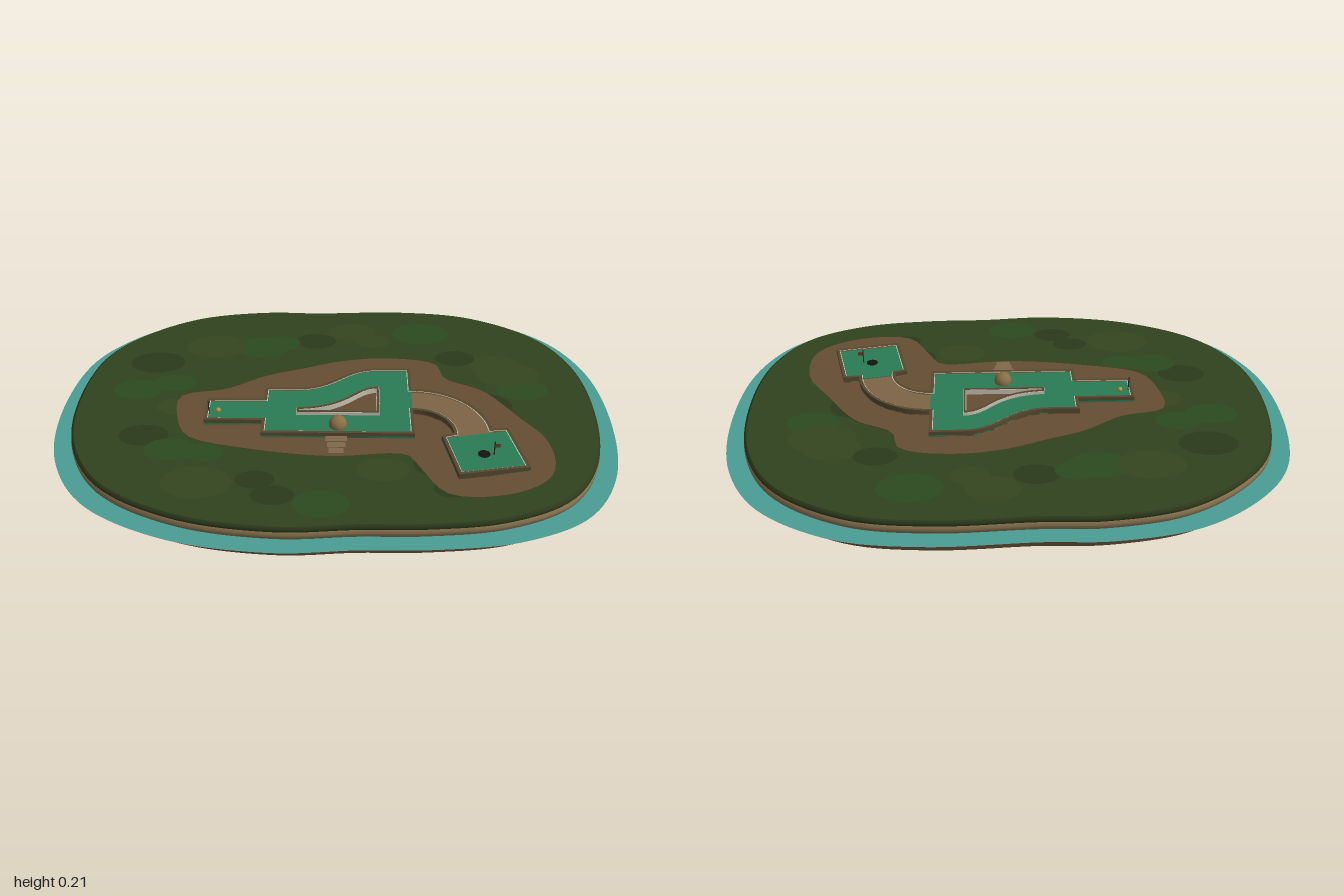
import * as THREE from 'three';

const GRASS_Y = 0.147;
const V = (x, z) => new THREE.Vector2(x, z); // plan point: x, z

function mat(color, extra = {}) {
  return new THREE.MeshStandardMaterial({ color, roughness: 0.9, ...extra });
}

function add(parent, name, geometry, color, extra) {
  const mesh = new THREE.Mesh(geometry, mat(color, extra));
  mesh.name = name;
  parent.add(mesh);
  return mesh;
}

// Smooth closed plan curve through a few points
function smoothLoop(points, n) {
  const c = new THREE.CatmullRomCurve3(points.map(([x, z]) => new THREE.Vector3(x, 0, z)), true, 'centripetal');
  return c.getSpacedPoints(n).slice(0, n).map((p) => V(p.x, p.z));
}

// Skin through scaled copies of a plan outline: rings are [scaleX, scaleZ, y]
function loft(outline, rings) {
  const n = outline.length, pos = [], idx = [];
  for (const [sx, sz, y] of rings) for (const p of outline) pos.push(p.x * sx, y, p.y * sz);
  for (let i = 0; i < rings.length - 1; i++) {
    for (let j = 0; j < n; j++) {
      const a = i * n + j, b = i * n + (j + 1) % n;
      idx.push(a, a + n, b, b, a + n, b + n);
    }
  }
  const g = new THREE.BufferGeometry();
  g.setAttribute('position', new THREE.Float32BufferAttribute(pos, 3));
  g.setIndex(idx);
  g.computeVertexNormals();
  return g;
}

// Mitred inward offset of a closed plan outline
function inset(points, d) {
  const n = points.length;
  const s = THREE.ShapeUtils.area(points) > 0 ? 1 : -1;
  const normal = (a, b) => V(-(b.y - a.y) * s, (b.x - a.x) * s).normalize();
  return points.map((p, i) => {
    const n1 = normal(points[(i + n - 1) % n], p), n2 = normal(p, points[(i + 1) % n]);
    const m = n1.clone().add(n2);
    return p.clone().addScaledVector(m, (2 * d) / Math.max(m.lengthSq(), 0.6));
  });
}

// Plan outline (with optional holes) raised from y0 to y1
function slab(points, y0, y1, holes = []) {
  const flip = (list) => list.map((p) => V(p.x, -p.y));
  const shape = new THREE.Shape(flip(points));
  for (const h of holes) shape.holes.push(new THREE.Path(flip(h)));
  return new THREE.ExtrudeGeometry(shape, { depth: y1 - y0, bevelEnabled: false }).rotateX(-Math.PI / 2).translate(0, y0, 0);
}

// Strip of wall between two offsets of an outline
const wall = (pts, d0, d1, y1) => slab(inset(pts, d0), 0.14, y1, [inset(pts, d1)]);

function arc(cx, cz, r, a0, a1, n = 14) {
  return Array.from({ length: n + 1 }, (_, i) => {
    const a = THREE.MathUtils.degToRad(a0 + ((a1 - a0) * i) / n);
    return V(cx + r * Math.cos(a), cz + r * Math.sin(a));
  });
}

const bezier = (a, b, c, d) => new THREE.CubicBezierCurve(V(...a), V(...b), V(...c), V(...d)).getPoints(16);

function buildIsland(group) {
  const shore = smoothLoop([
    [0.94, 0], [0.9, 0.32], [0.78, 0.52], [0.565, 0.63], [0.3, 0.668], [0.08, 0.672], [-0.18, 0.687],
    [-0.505, 0.63], [-0.77, 0.48], [-0.9, 0.27], [-0.94, 0], [-0.89, -0.32], [-0.77, -0.49],
    [-0.56, -0.63], [-0.29, -0.685], [-0.08, -0.682], [0.27, -0.693], [0.54, -0.65], [0.78, -0.5], [0.9, -0.29],
  ], 160);
  const bands = [
    ['underside', 0x3a2c22, [[0, 0], [0.3, 0.01], [0.65, 0.022], [0.995, 0.034]]],
    ['earthBank', 0x5d4833, [[0.995, 0.034], [0.998, 0.06], [1, 0.08], [0.998, 0.092], [0.988, 0.099]]],
    ['sandBank', 0x86704e, [[0.988, 0.099], [0.996, 0.106], [0.997, 0.118], [0.99, 0.126]]],
    ['grassEdge', 0x2c3a1a, [[0.99, 0.126], [0.995, 0.132], [0.994, 0.142], [0.985, GRASS_Y]]],
    ['lawn', 0x2f421d, [[0.985, GRASS_Y], [0.5, GRASS_Y], [0, GRASS_Y]]],
  ];
  for (const [name, color, rings] of bands) add(group, name, loft(shore, rings.map(([s, y]) => [s, s, y])), color);
  add(group, 'water', loft(shore, [[0.96, 0.96, 0.098], [1.063, 1.085, 0.098]]), 0x4a9d94, { side: THREE.DoubleSide });

  // Lighter and darker patches of turf
  let seed = 7;
  const rand = () => (seed = (seed * 16807) % 2147483647) / 2147483647;
  const turf = [0x2a3a1a, 0x2c4a20, 0x34461f];
  for (let i = 0; i < 30; i++) {
    const a = i * 2.4, r = 0.55 + 0.3 * rand();
    const patch = add(group, 'turfPatch', new THREE.CircleGeometry(0.04 + 0.05 * rand(), 14), turf[i % 3]);
    patch.rotation.x = -Math.PI / 2;
    patch.scale.x = 1.4;
    patch.position.set(Math.cos(a) * r * 0.95, GRASS_Y + 0.0006 + i * 0.00003, Math.sin(a) * r * 0.68);
  }

  // Worn earth around the course
  const worn = smoothLoop([
    [-0.56, -0.05], [-0.4, -0.1], [-0.26, -0.19], [-0.13, -0.24], [0.03, -0.3], [0.22, -0.32], [0.38, -0.28],
    [0.41, -0.18], [0.54, -0.1], [0.65, 0.06], [0.74, 0.22], [0.73, 0.4], [0.6, 0.5], [0.38, 0.51],
    [0.29, 0.37], [0.25, 0.3], [-0.02, 0.31], [-0.3, 0.27], [-0.51, 0.2], [-0.56, 0.08],
  ], 90);
  add(group, 'wornEarth', slab(worn, 0.14, 0.149), 0x664d33);
}

function buildCourse(group) {
  // Outline pieces, joined into one loop
  const outerBend = arc(0.28, 0.195, 0.27, -90, -5);
  const puttingGreen = [V(0.607, 0.166), V(0.655, 0.39), V(0.415, 0.433), V(0.372, 0.214)];
  const innerBend = arc(0.28, 0.195, 0.135, 2, -90);
  const fairway = [
    V(0.28, 0.205), V(-0.255, 0.205), V(-0.255, 0.13), V(-0.46, 0.13), V(-0.46, -0.005), V(-0.255, -0.005), V(-0.255, -0.078),
    ...bezier([-0.15, -0.078], [0.01, -0.078], [0.02, -0.215], [0.165, -0.215]), V(0.28, -0.215),
  ];
  const outline = [...outerBend, ...puttingGreen, ...innerBend, ...fairway];
  const gap = [V(-0.135, 0.075), V(0.16, 0.075), ...bezier([0.16, -0.09], [0.06, -0.085], [0.06, 0.04], [-0.135, 0.05])];

  add(group, 'bendFloor', slab(outline, 0.14, 0.153, [gap]), 0x7d6446);
  add(group, 'fairwayFelt', slab(fairway, 0.14, 0.156, [gap]), 0x2a7a55);
  add(group, 'puttingGreenFelt', slab(puttingGreen, 0.14, 0.156), 0x2a7a55);

  // Timber kerbs with pale linings
  add(group, 'outerKerb', wall(outline, 0, 0.011, 0.17), 0x55482f);
  add(group, 'outerKerbLining', wall(outline, 0.011, 0.014, 0.168), 0xc9c0b2);
  add(group, 'innerKerb', wall(gap, 0, 0.008, 0.17), 0x55482f);
  add(group, 'innerKerbLining', wall(gap, -0.002, 0, 0.168), 0xc9c0b2);
  add(group, 'innerKerbBackLining', wall(gap, 0.008, 0.01, 0.168), 0xc9c0b2);
}

function buildDetails(group) {
  const place = (name, geo, color, x, y, z, extra) => {
    const m = add(group, name, geo, color, extra);
    m.position.set(x, y, z);
    return m;
  };
  place('boulder', new THREE.SphereGeometry(0.032, 20, 14), 0x8a6f45, 0.013, 0.163, 0.14);

  // Stepped approach to the front kerb
  for (let i = 0; i < 3; i++) {
    place('approachStep', new THREE.BoxGeometry(0.075 - i * 0.012, 0.012, 0.03), 0x80694d, 0.008, 0.152 - i * 0.003, 0.222 + i * 0.03);
  }

  // Cup, pin and flag
  place('cup', new THREE.CylinderGeometry(0.021, 0.021, 0.004, 24), 0x15120f, 0.51, 0.1555, 0.302);
  place('pin', new THREE.CylinderGeometry(0.002, 0.002, 0.055, 8), 0x2a241c, 0.543, 0.182, 0.305);
  place('flag', new THREE.BoxGeometry(0.018, 0.014, 0.002), 0x6b3a26, 0.553, 0.194, 0.305);

  // Tee post and ball
  place('teePost', new THREE.CylinderGeometry(0.002, 0.002, 0.055, 8), 0x2a241c, -0.447, 0.18, 0.07);
  place('ball', new THREE.SphereGeometry(0.009, 14, 10), 0xb89a3c, -0.415, 0.163, 0.06);
}

export function createModel() {
  const model = new THREE.Group();
  model.name = 'miniGolfIsland';
  for (const [name, build] of [['island', buildIsland], ['course', buildCourse], ['details', buildDetails]]) {
    const part = new THREE.Group();
    part.name = name;
    build(part);
    model.add(part);
  }
  return model;
}
